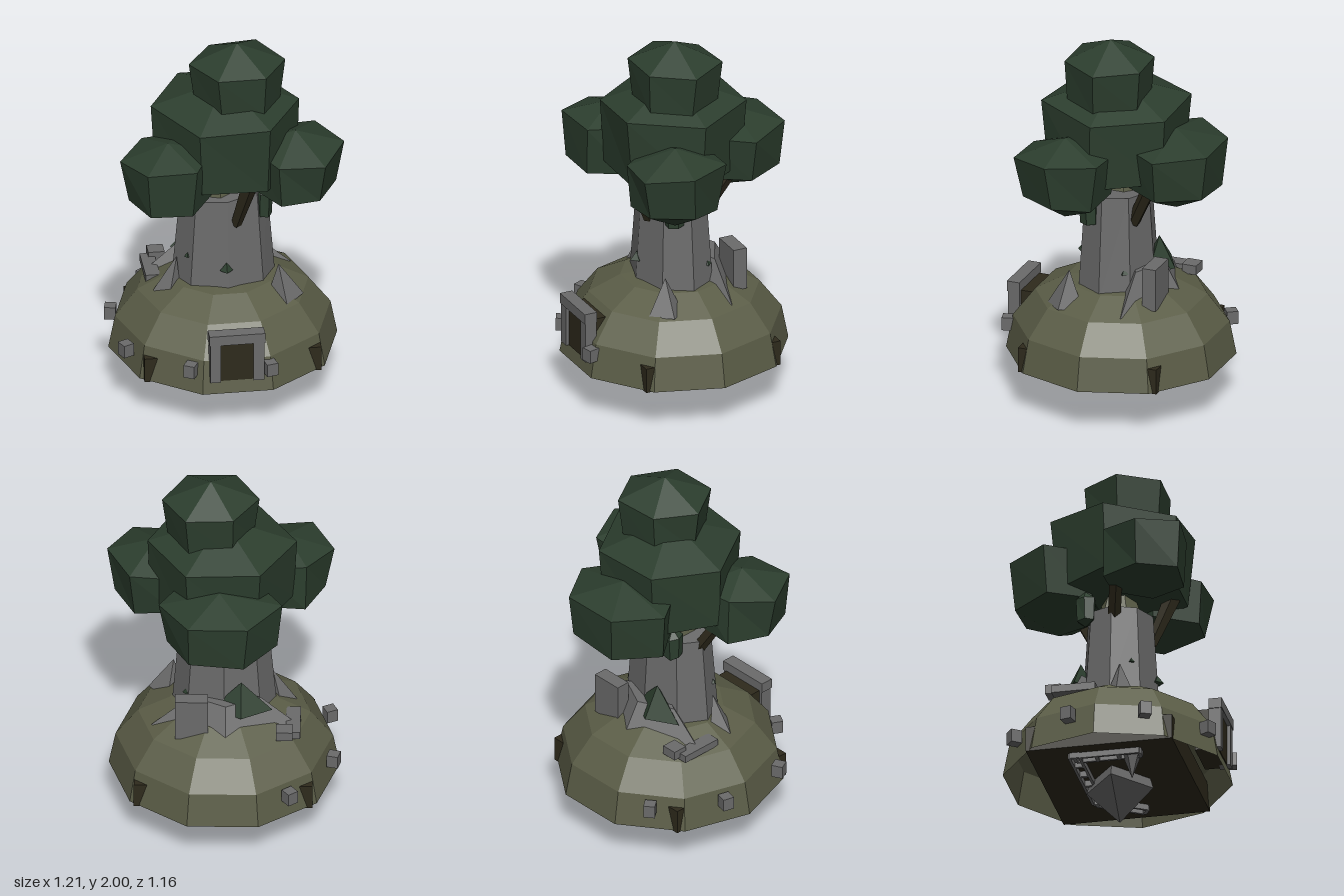
import * as THREE from 'three';

const mat = (name, color, side = THREE.FrontSide) => {
  const m = new THREE.MeshStandardMaterial({ color, side });
  m.name = name;
  return m;
};

export function createModel() {
  const model = new THREE.Group();
  const moss = mat('mossyEarth', 0x5b5d47, THREE.DoubleSide);
  const stone = mat('greyStone', 0x6b6b6b);
  const leaf = mat('darkLeaf', 0x2c3e2e);
  const wood = mat('darkWood', 0x2e2a1c);

  let seed = 7;
  const rand = () => ((seed = (seed * 16807) % 2147483647) / 2147483647) * 2 - 1;

  // Adds one faceted mesh
  const add = (name, geo, material, x = 0, y = 0, z = 0, ry = 0) => {
    const flat = geo.index ? geo.toNonIndexed() : geo;
    flat.computeVertexNormals();
    const mesh = new THREE.Mesh(flat, material);
    mesh.name = name;
    mesh.position.set(x, y, z);
    mesh.rotation.y = ry;
    model.add(mesh);
    return mesh;
  };

  // Box given by its lower and upper corners
  const box = (name, material, x0, x1, y0, y1, z0, z1) =>
    add(name, new THREE.BoxGeometry(x1 - x0, y1 - y0, z1 - z0), material,
      (x0 + x1) / 2, (y0 + y1) / 2, (z0 + z1) / 2);

  // Tapered limb between two points
  const limb = (name, material, a, b, r0, r1, sides) => {
    const from = new THREE.Vector3(...a), dir = new THREE.Vector3(...b).sub(from);
    const mesh = add(name, new THREE.CylinderGeometry(r1, r0, dir.length(), sides), material);
    mesh.position.copy(from).addScaledVector(dir, 0.5);
    mesh.quaternion.setFromUnitVectors(new THREE.Vector3(0, 1, 0), dir.normalize());
  };

  // Six-sided leaf clump: heights are [top, upper ring, lower ring, bottom]
  const clump = (name, x, z, rx, rz, heights, taper = 0.9, wobble = 0.015) => {
    const geo = new THREE.SphereGeometry(1, 6, 3);
    const p = geo.attributes.position, moved = {};
    for (let i = 0; i < p.count; i++) {
      const y = p.getY(i), pole = Math.abs(y) > 0.9;
      const level = y > 0 ? (pole ? 0 : 1) : (pole ? 3 : 2);
      const key = [p.getX(i), y, p.getZ(i)].map(v => Math.round(v * 50) + 0).join();
      const d = moved[key] ??= [rand(), rand(), rand()].map(v => (pole ? 0 : v * wobble));
      const k = (level === 2 ? taper : 1) / 0.866;
      p.setXYZ(i, p.getX(i) * rx * k + d[0], heights[level] + d[1], p.getZ(i) * rz * k + d[2]);
    }
    add(name, geo, leaf, x, 0, z);
  };

  // Ten-sided mound, open below
  const profile = [[0.595, 0.24], [0.56, 0.42], [0.445, 0.57], [0.28, 0.655], [0, 0.69]];
  const dome = new THREE.LatheGeometry(profile.map(p => new THREE.Vector2(...p)), 10);
  add('mound', dome.rotateY(Math.PI / 2), moss, 0, 0, -0.015);

  // Cellar floor whose corners poke through the mound
  box('cellar', wood, -0.46, 0.46, 0.235, 0.37, -0.4, 0.37);

  // Doorway
  box('doorHood', wood, -0.13, 0.115, 0.31, 0.535, 0.42, 0.5);
  box('doorOpening', wood, -0.1, 0.09, 0.31, 0.535, 0.5, 0.543);
  box('doorLintel', stone, -0.15, 0.14, 0.53, 0.585, 0.495, 0.565);
  for (const x of [-0.145, 0.08]) box('doorPost', stone, x, x + 0.055, 0.31, 0.535, 0.495, 0.56);

  // Blocks set around the mound
  for (const [x, z, a] of [[-0.345, -0.485, 0.65], [-0.565, -0.155, -0.25], [-0.54, 0.245, 0.45],
    [-0.24, 0.51, -0.5], [0.17, 0.545, 0.25]])
    add('ringBlock', new THREE.BoxGeometry(0.06, 0.07, 0.06), stone, x, 0.37, z, a);

  // Stone trunk with an uneven rim and a pale core
  const trunk = new THREE.CylinderGeometry(0.225, 0.27, 0.54, 8);
  const tp = trunk.attributes.position;
  for (let i = 0; i < tp.count; i++) {
    tp.setZ(i, tp.getZ(i) * 0.76);
    if (tp.getY(i) > 0) tp.setY(i, 0.26 + tp.getX(i) * 0.1);
  }
  add('trunk', trunk, stone, 0, 0.89, 0);
  add('trunkCore', new THREE.CylinderGeometry(0.07, 0.13, 0.2, 6), moss, -0.03, 1.2, 0);

  // Branches
  limb('frontBranch', wood, [0.045, 1.01, 0.15], [0.1, 1.29, 0.25], 0.03, 0.045, 5);
  limb('backBranch', wood, [0.11, 1.02, -0.13], [0.19, 1.3, -0.27], 0.035, 0.04, 5);
  limb('sideBranch', wood, [-0.17, 1.04, 0], [-0.3, 1.26, 0.04], 0.035, 0.035, 5);

  // Canopy
  clump('crownTop', 0.07, 0.015, 0.245, 0.235, [2, 1.89, 1.67, 1.55], 0.92, 0.01);
  clump('crownMain', 0.01, 0, 0.385, 0.385, [1.78, 1.65, 1.28, 1.2], 0.92, 0.02);
  clump('crownLeft', 0.355, 0.152, 0.24, 0.257, [1.54, 1.45, 1.21, 1.1]);
  clump('crownRight', -0.315, 0.195, 0.24, 0.24, [1.54, 1.46, 1.21, 1.17]);
  clump('crownBack', 0.02, -0.33, 0.315, 0.27, [1.54, 1.47, 1.22, 1.1]);
  clump('hangingLeaves', 0.2, 0.08, 0.05, 0.055, [1.22, 1.15, 1.02, 1], 0.9, 0.005);
  clump('hangingLeaves', -0.16, -0.15, 0.05, 0.055, [1.25, 1.2, 1.08, 1.05], 0.9, 0.005);

  // Rock bank behind the trunk, with a leafy tuft
  const bank = new THREE.CylinderGeometry(0.18, 0.385, 0.18, 4).scale(1, 1, 0.5);
  add('rockBank', bank, stone, -0.01, 0.675, -0.165);
  add('backTuft', new THREE.ConeGeometry(0.16, 0.17, 4).scale(1, 1, 0.55), leaf, -0.09, 0.79, -0.19);

  // Rock spikes at the foot of the trunk
  limb('rootSpike', stone, [0.295, 0.57, 0.175], [0.265, 0.76, 0.165], 0.1, 0.002, 4);
  limb('rootSpike', stone, [-0.3, 0.58, 0.06], [-0.25, 0.78, 0.05], 0.075, 0.002, 4);

  // Standing slab and fallen slabs
  box('standingSlab', stone, 0.08, 0.25, 0.6, 0.83, -0.31, -0.235);
  box('fallenSlab', stone, -0.395, -0.32, 0.585, 0.625, -0.28, -0.05);
  box('fallenSlab', stone, -0.355, -0.27, 0.6, 0.65, -0.32, -0.24);

  // Small leaf tufts on the trunk
  for (const [x, y, z, r] of [[-0.01, 0.785, 0.195, 0.035], [0.19, 0.77, -0.11, 0.025], [-0.2, 0.82, 0.1, 0.018]])
    add('trunkTuft', new THREE.ConeGeometry(r, r * 1.3, 4), leaf, x, y, z);

  // Hanging rock points below
  const point = new THREE.ConeGeometry(0.22, 0.18, 4).rotateX(Math.PI).scale(1, 1, 0.8);
  add('rockPoint', point, stone, 0.005, 0.09, -0.005);
  add('rockPointCollar', new THREE.CylinderGeometry(0.2, 0.22, 0.06, 4).scale(1, 1, 0.8), stone, 0.005, 0.21, -0.005);
  add('smallRockPoint', new THREE.ConeGeometry(0.055, 0.15, 5).rotateX(Math.PI), stone, -0.32, 0.165, 0.13);

  // Stone gratings under the floor: two rails and cross bars
  const grating = (x0, z0, x1, z1) => {
    const length = Math.hypot(x1 - x0, z1 - z0);
    const g = new THREE.Group();
    g.name = 'grating';
    g.position.set((x0 + x1) / 2, 0.222, (z0 + z1) / 2);
    g.rotation.y = -Math.atan2(z1 - z0, x1 - x0);
    for (const s of [-1, 1])
      g.add(add('gratingRail', new THREE.BoxGeometry(length, 0.035, 0.014), stone, 0, 0, s * 0.027));
    const bars = Math.round(length / 0.11);
    for (let i = 0; i <= bars; i++)
      g.add(add('gratingBar', new THREE.BoxGeometry(0.018, 0.035, 0.05), stone, (i / bars - 0.5) * length));
    model.add(g);
  };
  grating(-0.38, -0.16, 0.2, -0.16);
  grating(-0.35, -0.16, -0.35, 0.18);
  grating(0.2, -0.16, 0.34, 0.06);

  return model;
}
